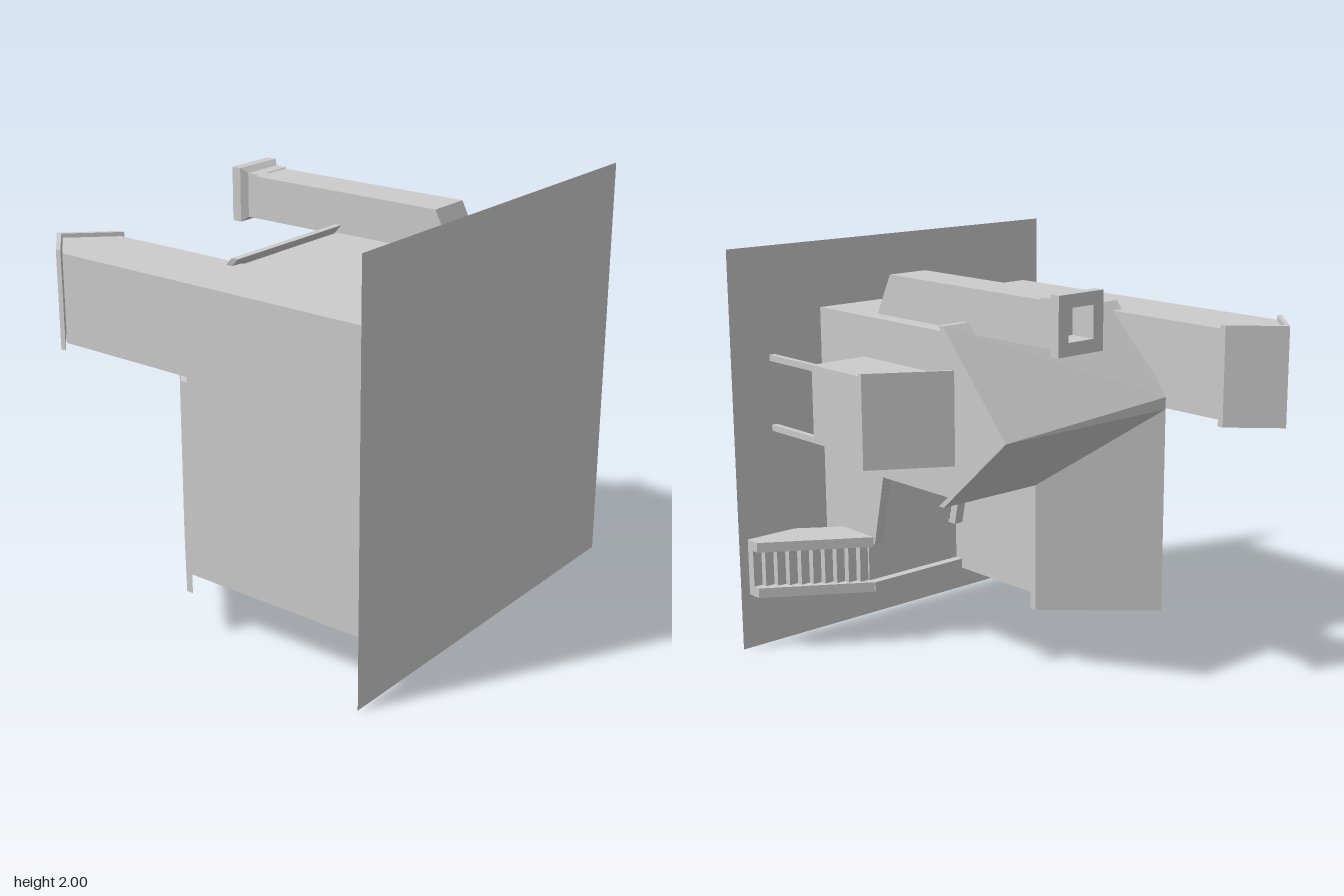
import * as THREE from 'three';
import { ConvexGeometry } from 'three/addons/geometries/ConvexGeometry.js';

// The house rises along -z from a ground sheet at z = 1.
export function createModel() {
  const model = new THREE.Group();
  model.name = 'house';
  const grey = new THREE.MeshStandardMaterial({ color: 0xcccccc, flatShading: true });
  const twoSided = new THREE.MeshStandardMaterial({ color: 0xcccccc, flatShading: true, side: THREE.DoubleSide });

  const V = (x, y, z) => new THREE.Vector3(x, y, z);
  const add = (name, geometry, material = grey) => {
    const mesh = new THREE.Mesh(geometry, material);
    mesh.name = name;
    model.add(mesh);
    return mesh;
  };
  // Box given by its extents
  const box = (name, x0, x1, y0, y1, z0, z1) => {
    const g = new THREE.BoxGeometry(x1 - x0, y1 - y0, z1 - z0);
    g.translate((x0 + x1) / 2, (y0 + y1) / 2, (z0 + z1) / 2);
    return add(name, g);
  };
  const shapeOf = (pts) => new THREE.Shape(pts.map(([a, b]) => new THREE.Vector2(a, b)));
  const extrude = (shape, depth) => new THREE.ExtrudeGeometry(shape, { depth, bevelEnabled: false });
  // Profile of [y, z] points swept along x
  const alongX = (name, pts, x0, x1) => {
    const g = extrude(shapeOf(pts), x1 - x0);
    g.applyMatrix4(new THREE.Matrix4().makeBasis(V(0, 1, 0), V(0, 0, 1), V(1, 0, 0)));
    g.translate(x0, 0, 0);
    return add(name, g);
  };
  // Profile of [x, z] points swept along y, with optional hole
  const alongY = (name, pts, y0, y1, hole) => {
    const swap = (p) => p.map(([x, z]) => [z, x]);
    const shape = shapeOf(swap(pts));
    if (hole) shape.holes.push(shapeOf(swap(hole)));
    const g = extrude(shape, y1 - y0);
    g.applyMatrix4(new THREE.Matrix4().makeBasis(V(0, 0, 1), V(1, 0, 0), V(0, 1, 0)));
    g.translate(0, y0, 0);
    return add(name, g);
  };
  // Roof slab: outer corners plus the same corners lowered by the thickness
  const slab = (name, pts, t = 0.035) => {
    const top = pts.map((p) => V(...p));
    return add(name, new ConvexGeometry([...top, ...top.map((p) => p.clone().setZ(p.z + t))]));
  };

  // Ground
  const ground = new THREE.PlaneGeometry(2, 2);
  ground.translate(0, 1, 1);
  add('ground', ground, twoSided);

  // Main block, gabled towards -y
  alongY('mainBlock', [[-0.9, 1], [-0.9, -0.02], [-0.5, -0.41], [-0.1, -0.02], [-0.1, 1]], 0.28, 1.24);
  box('mainBlockRear', -0.9, -0.1, 1.24, 1.67, -0.01, 1);

  // Side wing, gabled towards +x, with a recessed door in its front wall
  alongX('wing', [[0.92, 1], [0.92, -0.04], [1.25, -0.41], [1.67, -0.01], [1.67, 1]], -0.5, 0.47);
  alongY('wingFrontWall', [[-0.1, 1], [-0.1, -0.01], [0.47, -0.01], [0.47, 1]], 0.89, 0.92,
    [[0, 0.56], [0, 0.15], [0.39, 0.15], [0.39, 0.56]]);

  // Crossing roofs
  slab('mainRoofOuter', [[-0.95, 0.22, -0.01], [-0.95, 1.24, -0.01], [-0.5, 1.24, -0.44], [-0.5, 0.22, -0.44]]);
  slab('mainRoofInner', [[-0.5, 0.22, -0.44], [-0.05, 0.22, -0.01], [-0.05, 0.86, -0.01], [-0.5, 1.24, -0.44]]);
  slab('wingRoofFront', [[-0.5, 1.24, -0.44], [0.53, 1.24, -0.44], [0.53, 0.86, -0.01], [-0.05, 0.86, -0.01]]);
  slab('wingRoofBack', [[-0.59, 1.71, -0.02], [0.53, 1.71, -0.02], [0.53, 1.24, -0.44], [-0.5, 1.3, -0.44]]);
  slab('ridgeFlat', [[-0.5, 1.24, -0.44], [0.53, 1.24, -0.44], [-0.5, 1.3, -0.44]]);

  // Tower with its own small gable roof
  alongY('tower', [[-0.9, 0.2], [-0.9, -0.77], [-0.71, -0.965], [-0.52, -0.77], [-0.52, 0.2]], 1.24, 1.67);
  for (const s of [-1, 1]) {
    slab('towerRoof', [1.21, 1.69].flatMap((y) => [[-0.715, y, -1], [-0.715 + s * 0.205, y, -0.79]]), 0.03);
  }

  // Chimney shaft with slanted foot, and flared hollow cap
  alongX('chimney', [[1.66, 0.655], [1.67, 0.65], [1.87, 0.55], [1.87, -0.5], [1.66, -0.5]], 0.16, 0.38);
  const capProfile = [[0.11, 0.5], [0.11, 0.56], [0.135, 0.59], [0.135, 0.64], [0.075, 0.64], [0.075, 0.51], [0, 0.51]]
    .map(([r, h]) => new THREE.Vector2(r * Math.SQRT2, h));
  const cap = new THREE.LatheGeometry(capProfile, 4, Math.PI / 4);
  cap.rotateX(-Math.PI / 2);
  cap.translate(0.27, 1.77, 0);
  add('chimneyCap', cap, twoSided);

  // Raised bay on two posts
  alongY('bay', [[0.46, 0.65], [0.46, -0.01], [0.78, 0.19], [0.78, 0.65]], 1.09, 1.47);
  slab('bayRoof', [1.05, 1.5].flatMap((y) => [[0.46, y, -0.03], [0.83, y, 0.2]]), 0.022);
  for (const y of [1.09, 1.44]) box('bayPost', 0.75, 0.78, y, y + 0.03, 0.65, 1);

  // Landing in the corner, with a kerb along its outer edge
  box('landing', -0.1, 0.47, 0.28, 0.89, 0.65, 1);
  box('landingKerb', -0.1, 0.47, 0.28, 0.33, 0.605, 0.65);

  // Lower flight, rising from the ground towards the landing
  const lowerSide = [[0.47, 0.61], [0.95, 0.92], [0.95, 1], [0.67, 1], [0.47, 0.86]];
  for (const y of [0.28, 0.515]) alongY('lowerStringer', lowerSide, y, y + 0.05);
  const steps = 10;
  for (let i = 0; i < steps; i++) {
    const x = 0.47 + i * 0.048;
    const z = 0.65 + (i + 0.3) * 0.033;
    box('lowerStep', x, x + 0.048, 0.33, 0.515, z, Math.min(1, z + 0.05));
  }

  // Upper flight, rising gently to the door
  for (const x of [-0.1, 0.42]) {
    alongX('upperStringer', [[0.53, 0.65], [0.53, 0.6], [0.89, 0.52], [0.89, 0.65]], x, x + 0.05);
  }
  for (let i = 0; i < steps; i++) {
    const y = 0.55 + i * 0.034;
    box('upperStep', -0.05, 0.42, y, y + 0.034, 0.64 - i * 0.0085, 0.655);
  }

  return model;
}
